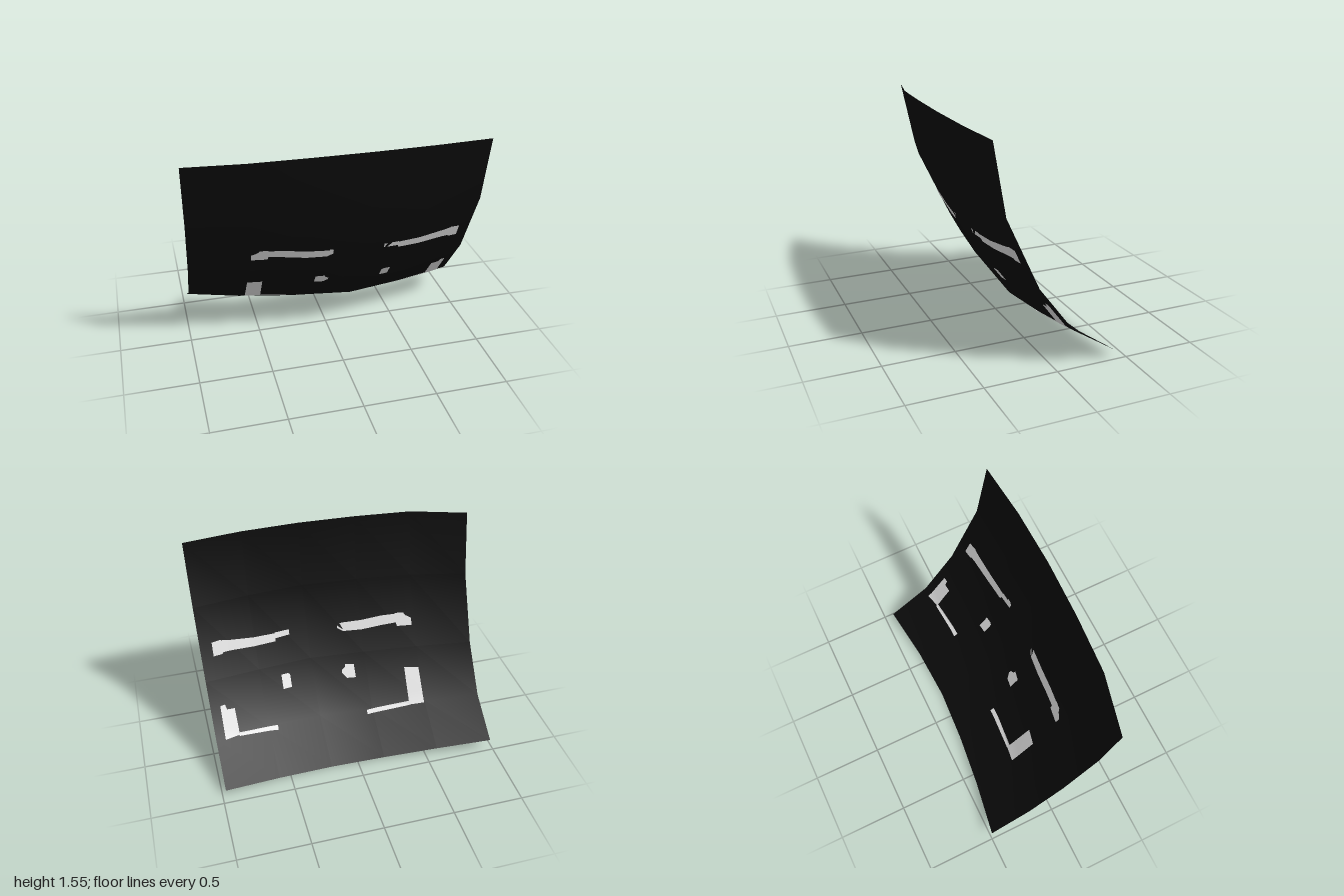
import * as THREE from 'three';

// Cross-section at the crest (z, y) and how far each row falls away at the sides (dz, dy)
const ROWS = [
  { z: 0.485, y: 1.55, dz: -0.125, dy: -0.03, fall: [1, 0.28, 0.08, 0, 0.08, 0.36] },
  { z: 0.438, y: 1.07, dz: -0.17, dy: 0, fall: [1, 0.45, 0.17, 0, 0.17, 0.5] },
  { z: 0.234, y: 0.557, dz: -0.185, dy: 0.045, fall: [1, 0.55, 0.25, 0, 0.25, 0.58] },
  { z: -0.024, y: 0.21, dz: -0.168, dy: 0.077, fall: [1, 0.55, 0.23, 0, 0.23, 0.58] },
  { z: -0.358, y: 0.003, dz: -0.13, dy: 0.087, fall: [1, 0.52, 0.18, 0, 0.16, 0.57] },
];
const COLS = [-1, -0.6, -0.2, 0.2, 0.6, 1];
const taper = (y) => 0.973 + 0.0175 * y;

// Point (y, z) of one row at column position u
function rowPoint(row, u) {
  const c = THREE.MathUtils.clamp((u + 1) / 0.4, 0, 4.9999);
  const i = Math.floor(c);
  const f = THREE.MathUtils.lerp(row.fall[i], row.fall[i + 1], c - i);
  return { y: row.y + row.dy * f, z: row.z + row.dz * f };
}

// Depth of the sheet at a given x and y
function sheetZ(x, y) {
  const pts = ROWS.map((row) => rowPoint(row, x / taper(y)));
  let i = 0;
  while (i < pts.length - 2 && y < pts[i + 1].y) i++;
  const t = (y - pts[i].y) / (pts[i + 1].y - pts[i].y);
  return THREE.MathUtils.lerp(pts[i].z, pts[i + 1].z, t);
}

// Surface from a grid of points, rows running downwards, columns along +x
function gridGeometry(rows, cols, point) {
  const pos = [];
  const index = [];
  for (let r = 0; r < rows; r++) {
    for (let c = 0; c < cols; c++) {
      pos.push(...point(r, c));
      if (r === rows - 1 || c === cols - 1) continue;
      const a = r * cols + c;
      const b = a + cols;
      index.push(a, b, a + 1, b, b + 1, a + 1);
    }
  }
  const geo = new THREE.BufferGeometry();
  geo.setAttribute('position', new THREE.Float32BufferAttribute(pos, 3));
  geo.setIndex(index);
  geo.computeVertexNormals();
  return geo;
}

// Painted marks as outlines: [x, top, bottom] from one end to the other
const MARKS = {
  upperBarRight: [[-0.57, 0.78, 0.73], [-0.53, 0.8, 0.73], [-0.515, 0.82, 0.73], [-0.46, 0.82, 0.73],
    [-0.455, 0.815, 0.755], [-0.35, 0.81, 0.745], [-0.2, 0.79, 0.725], [-0.06, 0.785, 0.725], [-0.02, 0.78, 0.75]],
  upperBarLeft: [[0.335, 0.79, 0.755], [0.44, 0.79, 0.75], [0.445, 0.785, 0.73], [0.6, 0.79, 0.73],
    [0.78, 0.815, 0.745], [0.83, 0.825, 0.745], [0.835, 0.83, 0.735], [0.9, 0.825, 0.735]],
  dotRight: [[-0.11, 0.5, 0.42], [-0.045, 0.505, 0.42], [-0.04, 0.485, 0.425], [-0.015, 0.47, 0.45]],
  dotLeft: [[0.37, 0.495, 0.42], [0.385, 0.505, 0.42], [0.435, 0.505, 0.42]],
  cornerRight: [[-0.58, 0.455, 0.245], [-0.475, 0.46, 0.238], [-0.47, 0.257, 0.236], [-0.15, 0.22, 0.202]],
  cornerLeft: [[0.52, 0.225, 0.205], [0.805, 0.252, 0.235], [0.81, 0.395, 0.24], [0.865, 0.4, 0.24],
    [0.875, 0.43, 0.24], [0.91, 0.43, 0.24]],
};

// Split long spans so that a mark follows the bends of the sheet
function refine(outline) {
  const out = [outline[0]];
  for (let i = 1; i < outline.length; i++) {
    const a = outline[i - 1];
    const b = outline[i];
    const n = Math.ceil((b[0] - a[0]) / 0.03);
    for (let k = 1; k <= n; k++) out.push(a.map((v, j) => THREE.MathUtils.lerp(v, b[j], k / n)));
  }
  return out;
}

export function createModel() {
  const black = new THREE.MeshStandardMaterial({ color: 0x0b0b0b, side: THREE.DoubleSide });
  black.name = 'black';
  const paleGrey = new THREE.MeshStandardMaterial({ color: 0xe0e0e0, side: THREE.DoubleSide });
  paleGrey.name = 'paleGrey';

  const model = new THREE.Group();
  model.name = 'curvedPanel';

  // Curved sheet
  const sheet = new THREE.Mesh(gridGeometry(ROWS.length, COLS.length, (r, c) => {
    const p = rowPoint(ROWS[r], COLS[c]);
    return [COLS[c] * taper(p.y), p.y, p.z];
  }), black);
  sheet.name = 'sheet';
  model.add(sheet);

  // Marks just off both faces of the sheet
  for (const [name, outline] of Object.entries(MARKS)) {
    const spans = refine(outline);
    for (const side of [1, -1]) {
      const geo = gridGeometry(7, spans.length, (r, c) => {
        const [x, top, bottom] = spans[c];
        const y = THREE.MathUtils.lerp(top, bottom, r / 6);
        return [x, y - 0.0025 * side, sheetZ(x, y) + 0.004 * side];
      });
      const mark = new THREE.Mesh(geo, paleGrey);
      mark.name = name + (side > 0 ? 'Front' : 'Back');
      model.add(mark);
    }
  }
  return model;
}
